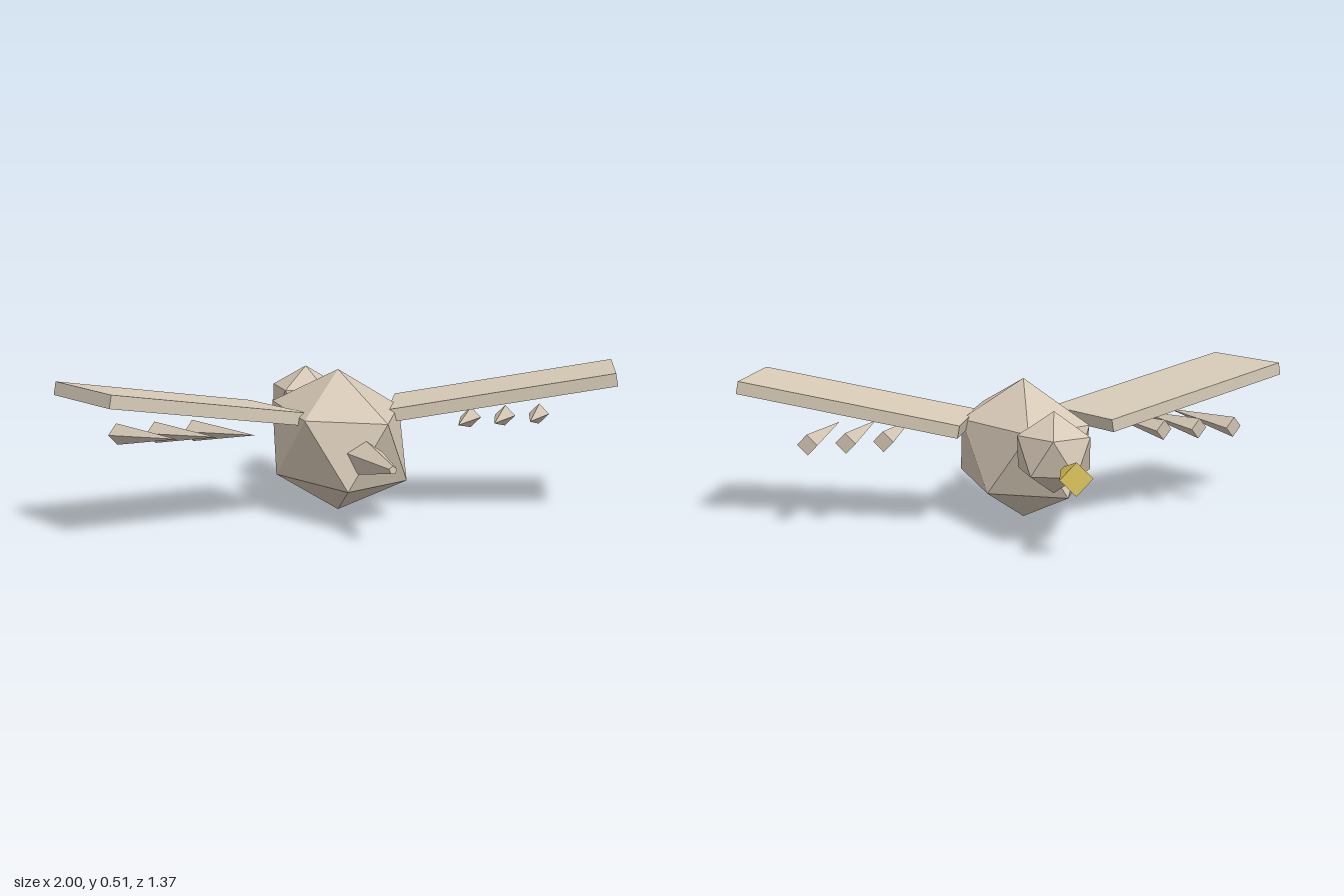
import * as THREE from 'three';
import { ConvexGeometry } from 'three/addons/geometries/ConvexGeometry.js';

const paint = (color) => new THREE.MeshStandardMaterial({ color, flatShading: true });

// Icosahedron standing on a corner: two poles and two staggered rings of five.
function poleIcosahedron() {
  const points = [new THREE.Vector3(0, 1, 0), new THREE.Vector3(0, -1, 0)];
  const h = 1 / Math.sqrt(5);
  for (let i = 0; i < 5; i++) {
    const a = (i * Math.PI * 2) / 5;
    const x = 2 * h * Math.cos(a), z = 2 * h * Math.sin(a);
    points.push(new THREE.Vector3(x, h, z), new THREE.Vector3(-x, -h, z));
  }
  return new ConvexGeometry(points);
}

// Faceted cone from a base centre to a tip; spin turns its corners about the axis.
function spike(name, material, base, tip, rBase, rTip, sides, spin = 0) {
  const from = new THREE.Vector3(...base), to = new THREE.Vector3(...tip);
  const geometry = new THREE.CylinderGeometry(rTip, rBase, from.distanceTo(to), sides);
  geometry.rotateY(spin).rotateX(Math.PI / 2);
  const mesh = new THREE.Mesh(geometry, material);
  mesh.name = name;
  mesh.position.copy(from).lerp(to, 0.5);
  mesh.lookAt(to);
  return mesh;
}

export function createModel() {
  const model = new THREE.Group();
  model.name = 'bird';
  const plumage = paint(0xd6c8b6);
  const wingPaint = paint(0xd8ccb8);
  const gold = paint(0xdcc55c);

  // Body and head
  const blob = (name, position, scale) => {
    const mesh = new THREE.Mesh(poleIcosahedron(), plumage);
    mesh.name = name;
    mesh.position.set(...position);
    mesh.scale.set(...scale);
    model.add(mesh);
  };
  blob('body', [0, 0.26, 0.045], [0.25, 0.25, 0.43]);
  blob('head', [0, 0.324, -0.393], [0.14, 0.139, 0.17]);

  // Flaring beak and tapered tail
  model.add(spike('beak', gold, [0, 0.29, -0.686], [0, 0.29, -0.485], 0.056, 0, 4));
  model.add(spike('tail', plumage, [0, 0.253, 0.37], [0, 0.273, 0.686], 0.065, 0.014, 5, Math.PI));

  for (const side of [1, -1]) {
    const label = side > 0 ? 'left' : 'right';

    // Swept, raised wing slab
    const wing = new THREE.Mesh(new THREE.BoxGeometry(0.79, 0.045, 0.36), wingPaint);
    wing.name = label + 'Wing';
    wing.position.set(side * 0.57, 0.429, 0.16);
    wing.rotation.set(0, -side * 0.375, side * 0.175, 'YZX');
    model.add(wing);

    // Three pointed feathers under each wing
    for (let i = 0; i < 3; i++) {
      const x = 0.51 + 0.132 * i;
      model.add(spike(label + 'Feather' + (i + 1), plumage,
        [side * x, 0.31, 0.002], [side * (x - 0.152), 0.336, 0.295], 0.037, 0, 4));
    }
  }
  return model;
}
